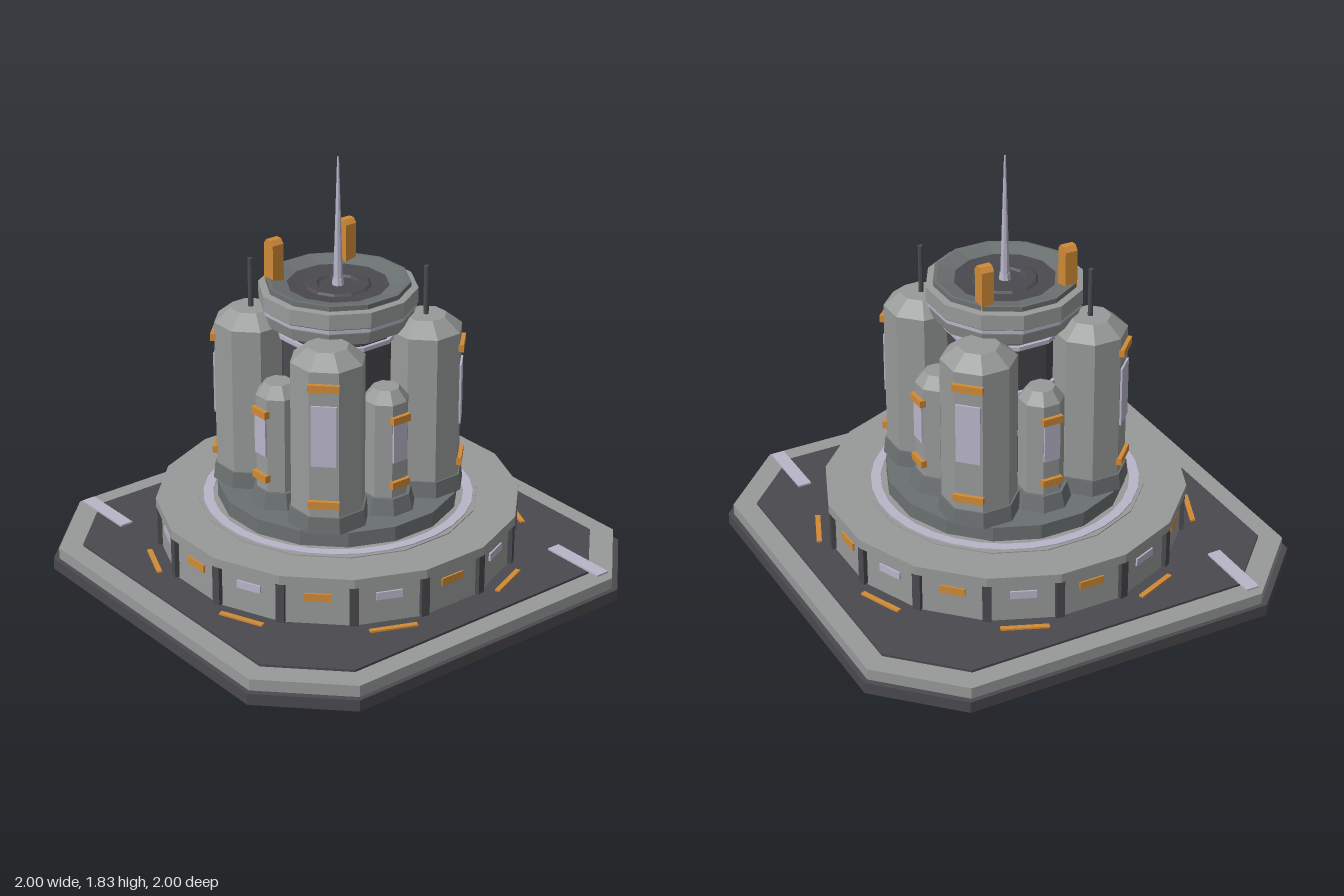
import * as THREE from 'three';

const mat = (name, color) => {
  const m = new THREE.MeshStandardMaterial({ color, flatShading: true });
  m.name = name;
  return m;
};

export function createModel() {
  const light = mat('light grey', 0x989a9a);
  const mid = mat('mid grey', 0x6b7071);
  const dark = mat('dark grey', 0x4a494e);
  const lilac = mat('pale lilac', 0xb8b5c9);
  const orange = mat('orange', 0xd08a36);

  const root = new THREE.Group();
  root.name = 'tower station';

  const add = (parent, name, geo, material, x = 0, y = 0, z = 0) => {
    const m = new THREE.Mesh(geo, material);
    m.name = name;
    m.position.set(x, y, z);
    parent.add(m);
    return m;
  };
  const box = (parent, name, w, h, d, material, x, y, z) =>
    add(parent, name, new THREE.BoxGeometry(w, h, d), material, x, y, z);
  // Prism sized by its flats, with one flat facing +z
  const prism = (parent, name, n, top, bottom, y0, y1, material) => {
    const k = 1 / Math.cos(Math.PI / n);
    const g = new THREE.CylinderGeometry(top * k, bottom * k, y1 - y0, n);
    g.rotateY(Math.PI / n);
    return add(parent, name, g, material, 0, (y0 + y1) / 2, 0);
  };
  const lathe = (name, pts, n, material) => {
    const g = new THREE.LatheGeometry(pts.map(p => new THREE.Vector2(...p)), n);
    g.rotateY(Math.PI / n);
    return add(root, name, g, material);
  };
  const spoke = (parent, name, angle) => {
    const g = new THREE.Group();
    g.name = name;
    g.rotation.y = angle;
    parent.add(g);
    return g;
  };

  // Square foundation with cut corners
  const slab = (name, a, c, y0, y1, material) => {
    const s = new THREE.Shape([[a, -c], [a, c], [c, a], [-c, a], [-a, c], [-a, -c], [-c, -a], [c, -a]]
      .map(p => new THREE.Vector2(...p)));
    const g = new THREE.ExtrudeGeometry(s, { depth: y1 - y0, bevelEnabled: false });
    g.rotateX(-Math.PI / 2);
    add(root, name, g, material, 0, y0, 0);
  };
  slab('foundation', 1, 0.69, 0, 0.05, dark);
  slab('foundationStep', 0.98, 0.675, 0.05, 0.1, light);
  slab('deck', 0.89, 0.625, 0.1, 0.11, dark);
  for (const s of [-1, 1])
    box(root, 'deckMarking', 0.06, 0.008, 0.3, lilac, s * 0.65, 0.115, s * 0.8);

  // Sixteen-sided ring building with pilasters and windows
  prism(root, 'ringWall', 16, 0.738, 0.738, 0.11, 0.29, light);
  prism(root, 'ringRoof', 16, 0.758, 0.758, 0.29, 0.33, light);
  for (let i = 0; i < 16; i++) {
    const bay = spoke(root, 'ringBay', i * Math.PI / 8);
    box(bay, 'ringWindow', 0.11, 0.034, 0.009, i % 2 ? lilac : orange, 0, 0.232, 0.741);
    const post = spoke(root, 'ringPost', (i + 0.5) * Math.PI / 8);
    box(post, 'pilaster', 0.036, 0.175, 0.035, dark, 0, 0.203, 0.751);
    if (i % 2 === 0)
      box(spoke(root, 'deckLight', (i + 1) * Math.PI / 8), 'deckStripe', 0.2, 0.008, 0.022, orange, 0, 0.114, 0.802);
  }
  lathe('roofLip', [[0.595, 0.33], [0.595, 0.334], [0.5, 0.334]], 16, light);
  lathe('glowRing', [[0.572, 0.333], [0.572, 0.338], [0.53, 0.338], [0.53, 0.333]], 32, lilac);
  prism(root, 'drum', 16, 0.5, 0.5, 0.33, 0.4, mid);

  // Central core with thin collars
  prism(root, 'core', 12, 0.235, 0.235, 0.4, 1.13, dark);
  for (const y of [0.49, 0.69, 0.88, 1.09])
    prism(root, 'coreCollar', 12, 0.25, 0.25, y - 0.009, y + 0.009, lilac);

  // Octagonal tower; its trimmed face points along the spoke
  const tower = (parent, name, p) => {
    const t = new THREE.Group();
    t.name = name;
    t.position.z = p.dist;
    parent.add(t);
    prism(t, 'towerFoot', 8, p.r, p.foot, 0.4, 0.47, mid);
    t.children[0].scale.set(p.foot / p.r, 1, p.foot / p.r);
    prism(t, 'towerShaft', 8, p.r, p.r, 0.46, p.shoulder, light);
    prism(t, 'towerCap', 8, p.tip, p.r, p.shoulder, p.top, light);
    box(t, 'towerWindow', p.winW, p.win[1] - p.win[0], 0.009, lilac, 0, (p.win[0] + p.win[1]) / 2, p.r + 0.004);
    for (const y of p.bands)
      box(t, 'towerBand', p.bandW, 0.032, 0.03, orange, 0, y, p.r + 0.002);
    return t;
  };
  for (let i = 0; i < 4; i++) {
    const a = i * Math.PI / 2;
    const big = tower(spoke(root, 'cornerTower', a + Math.PI / 4), 'tallTower', {
      dist: 0.362, r: 0.145, foot: 0.152, tip: 0.08, shoulder: 1.11, top: 1.167,
      winW: 0.105, win: [0.7, 0.965], bandW: 0.13, bands: [0.53, 1.045],
    });
    if (i % 2 === 0)
      add(big, 'rodAntenna', new THREE.CylinderGeometry(0.011, 0.011, 0.22, 8), dark, 0, 1.268, 0);
    tower(spoke(root, 'sideTower', a), 'shortTower', {
      dist: 0.312, r: 0.088, foot: 0.102, tip: 0.052, shoulder: 0.885, top: 0.935,
      winW: 0.072, win: [0.63, 0.81], bandW: 0.09, bands: [0.53, 0.82],
    });
  }

  // Head: flared underside, lilac band, rim and dished roof
  lathe('headUnderside', [[0, 1.115], [0.24, 1.115], [0.3, 1.135], [0.32, 1.19], [0.32, 1.2]], 12, light);
  lathe('headBand', [[0.324, 1.195], [0.324, 1.212]], 12, lilac);
  lathe('headWall', [[0.318, 1.205], [0.33, 1.215], [0.33, 1.28], [0.295, 1.284]], 12, light);
  lathe('headRim', [[0.3, 1.28], [0.3, 1.304], [0.285, 1.304], [0.21, 1.285]], 12, mid);
  lathe('headDish', [[0.212, 1.286], [0.14, 1.28], [0.13, 1.288], [0.09, 1.288], [0.08, 1.28], [0, 1.28]], 12, dark);

  // Central mast
  add(root, 'mastFoot', new THREE.CylinderGeometry(0.022, 0.026, 0.03, 8), lilac, 0, 1.293, 0);
  add(root, 'mast', new THREE.CylinderGeometry(0.004, 0.02, 0.53, 8), lilac, 0, 1.565, 0);

  // Twin beacons with chamfered tops
  const side = new THREE.Shape([[-0.03, 0], [0.03, 0], [0.03, 0.165], [0.014, 0.185], [-0.014, 0.185], [-0.03, 0.165]]
    .map(p => new THREE.Vector2(...p)));
  for (const s of [-1, 1]) {
    const g = new THREE.ExtrudeGeometry(side, { depth: 0.055, bevelEnabled: false });
    g.translate(0, 0, -0.0275);
    g.rotateY(Math.PI / 2);
    add(root, 'beacon', g, orange, s * 0.19, 1.285, -0.182);
  }
  return root;
}
